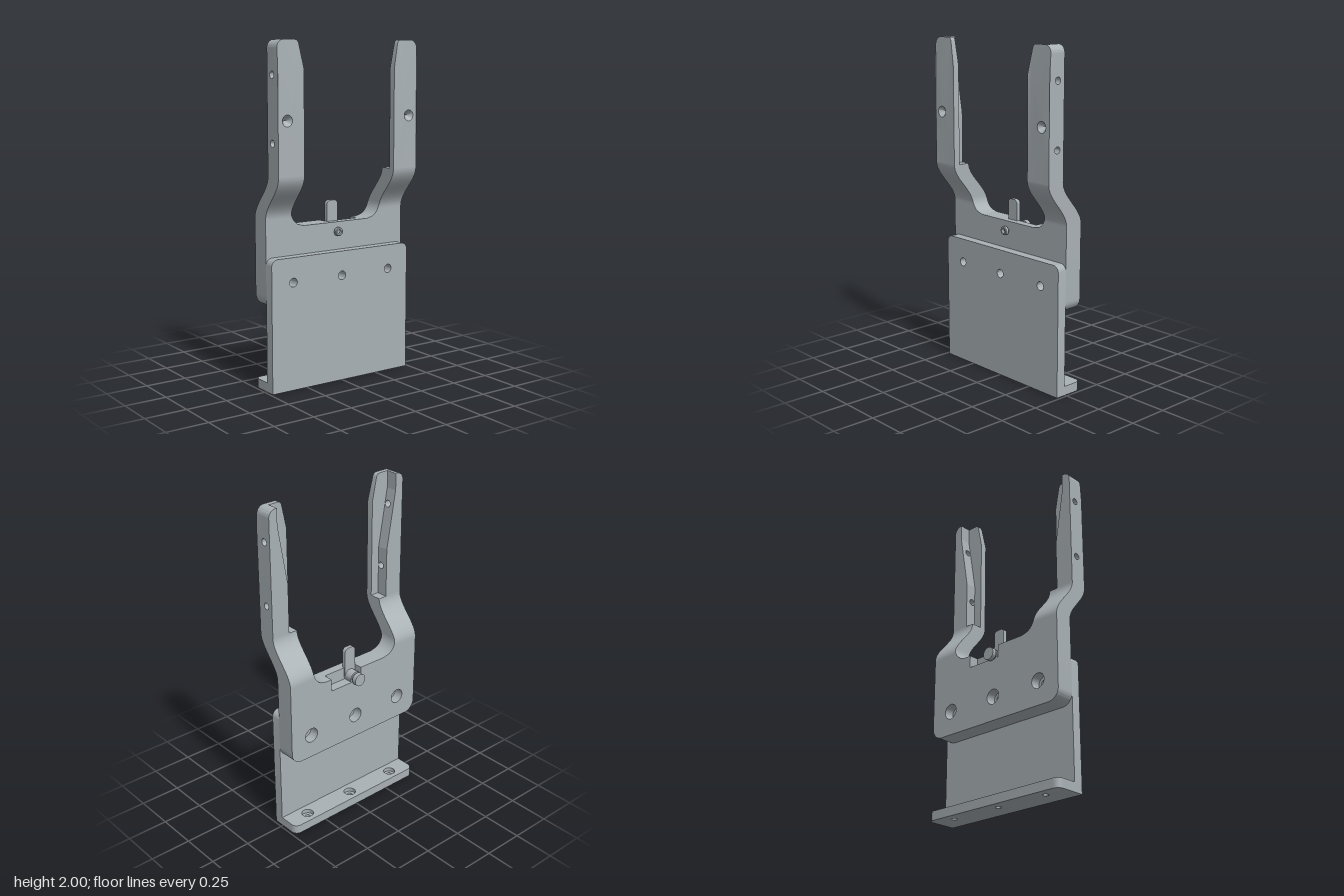
import * as THREE from 'three';
import { toCreasedNormals } from 'three/addons/utils/BufferGeometryUtils.js';

const metal = new THREE.MeshStandardMaterial({ color: 0xa9b1b5 });
metal.name = 'satin grey metal';
const HOLES_X = [-0.34, 0, 0.34];

const finish = (g) => {
  g = g.index ? g.toNonIndexed() : g;
  g.deleteAttribute('normal');
  return toCreasedNormals(g, 0.6);
};

function add(parent, name, geometry) {
  const mesh = new THREE.Mesh(finish(geometry), metal);
  mesh.name = name;
  parent.add(mesh);
  return mesh;
}

// Copy a triangle soup to the other side of x = 0, keeping faces outward
function mirrorX(geometry) {
  const src = finish(geometry).attributes.position;
  const out = [];
  for (let i = 0; i < src.count; i += 3) {
    for (const k of [0, 2, 1]) out.push(-src.getX(i + k), src.getY(i + k), src.getZ(i + k));
  }
  return new THREE.BufferGeometry().setAttribute('position', new THREE.Float32BufferAttribute(out, 3));
}

function addPair(parent, name, geometry) {
  add(parent, name + 'Left', geometry);
  add(parent, name + 'Right', mirrorX(geometry));
}

function punch(shape, x, y, r) {
  shape.holes.push(new THREE.Path().absarc(x, y, r, 0, Math.PI * 2, true));
  return shape;
}

const extrude = (shape, depth) =>
  new THREE.ExtrudeGeometry(shape, { depth, bevelEnabled: false, curveSegments: 12 });
const extrudeZ = (shape, z0, z1) => extrude(shape, z1 - z0).translate(0, 0, z0);

// Plate with rounded top corners
function topRounded(w, y0, y1, r) {
  return new THREE.Shape().moveTo(-w, y0).lineTo(w, y0).lineTo(w, y1 - r)
    .absarc(w - r, y1 - r, r, 0, Math.PI / 2).lineTo(-w + r, y1)
    .absarc(-w + r, y1 - r, r, Math.PI / 2, Math.PI);
}

// Yoke outline, optionally with the latch notch in its top edge
function yokeShape(holeRadius, notched) {
  const w = 0.485, y0 = 0.49, r = 0.07, top = 0.945;
  const s = new THREE.Shape().moveTo(-w + r, y0).lineTo(w - r, y0)
    .absarc(w - r, y0 + r, r, -Math.PI / 2, 0).lineTo(w, top);
  if (notched) s.lineTo(0.185, top).lineTo(0.185, 0.87).lineTo(-0.04, 0.87).lineTo(-0.04, top);
  s.lineTo(-w, top).lineTo(-w, y0 + r).absarc(-w + r, y0 + r, r, Math.PI, Math.PI * 1.5);
  HOLES_X.forEach((x) => punch(s, x, 0.635, holeRadius));
  return s;
}

// Cranked lower arm: a rectangular section swept upward and forward
function crank() {
  const rows = [], N = 28, pos = [];
  for (let i = 0; i <= N; i++) {
    const y = 0.945 + (0.305 * i) / N;
    const d = Math.max(0, 1.035 - y);
    const xi = 0.225 + Math.sqrt(Math.max(0, 0.0081 - d * d));
    const t = THREE.MathUtils.smoothstep(y, 1.0, 1.25);
    const zf = 0.005 + 0.14 * t, zb = -0.11 + 0.145 * t;
    rows.push([[xi, y, zf], [0.485, y, zf], [0.485, y, zb], [xi, y, zb]]);
  }
  const quad = (a, b, c, d) => pos.push(...a, ...b, ...c, ...a, ...c, ...d);
  for (let i = 0; i < N; i++) {
    for (let k = 0; k < 4; k++) {
      const n = (k + 1) % 4;
      quad(rows[i][k], rows[i][n], rows[i + 1][n], rows[i + 1][k]);
    }
  }
  quad(...rows[N]);
  return new THREE.BufferGeometry().setAttribute('position', new THREE.Float32BufferAttribute(pos, 3));
}

// Length of outer wall between two heights; its inner face leans from x0 to x1
function wall(y0, y1, x0, x1, holeY) {
  const s = new THREE.Shape().moveTo(-0.1055, y0).lineTo(-0.035, y0).lineTo(-0.035, y1).lineTo(-0.1055, y1);
  if (holeY) punch(s, -0.083, holeY, 0.02);
  const g = extrude(s, 0.485).rotateY(Math.PI / 2);
  const p = g.attributes.position;
  for (let i = 0; i < p.count; i++) {
    if (p.getX(i) < 0.01) p.setX(i, THREE.MathUtils.mapLinear(p.getY(i), y0, y1, x0, x1));
  }
  return g;
}

// Front plate of an arm, thinning slightly toward the tip
function armPlate() {
  const s = new THREE.Shape().moveTo(0.315, 1.25).lineTo(0.485, 1.25).lineTo(0.485, 1.85).lineTo(0.485, 1.955)
    .absarc(0.44, 1.955, 0.045, 0, Math.PI / 2).lineTo(0.37, 2)
    .quadraticCurveTo(0.348, 2, 0.343, 1.975).lineTo(0.315, 1.84);
  punch(s, 0.425, 1.56, 0.033);
  const g = extrudeZ(s, 0.105, 0.145);
  const p = g.attributes.position;
  for (let i = 0; i < p.count; i++) {
    if (p.getZ(i) > 0.14) p.setZ(i, 0.145 - 0.07 * Math.max(0, p.getY(i) - 1.855));
  }
  return g;
}

// Turned part along z; profile is [radius, z] running from back to front
const turned = (profile, sides = 32) =>
  new THREE.LatheGeometry(profile.map(([r, z]) => new THREE.Vector2(r, z)), sides)
    .rotateX(Math.PI / 2).translate(0, 0.89, 0);

export function createModel() {
  const model = new THREE.Group();
  model.name = 'forkBracket';

  // Angle bracket: upright plate and counterbored foot
  const base = new THREE.Group();
  base.name = 'angleBracket';
  model.add(base);
  const upright = topRounded(0.485, 0, 0.78, 0.04);
  HOLES_X.forEach((x) => punch(upright, x, 0.635, 0.026));
  add(base, 'uprightPlate', extrudeZ(upright, 0.005, 0.065));
  for (const [name, yTop, h, r] of [['footLower', 0.03, 0.03, 0.017], ['footUpper', 0.055, 0.025, 0.036]]) {
    const s = new THREE.Shape().moveTo(0.485, 0.005).lineTo(-0.485, 0.005).lineTo(-0.485, -0.085)
      .absarc(-0.445, -0.085, 0.04, Math.PI, Math.PI * 1.5).lineTo(0.445, -0.125)
      .absarc(0.445, -0.085, 0.04, -Math.PI / 2, 0);
    HOLES_X.forEach((x) => punch(s, x, -0.06, r));
    add(base, name, extrude(s, h).rotateX(Math.PI / 2).translate(0, yTop, 0));
  }

  // Fork: yoke in two layers for counterbores and notch, then both arms
  const fork = new THREE.Group();
  fork.name = 'fork';
  model.add(fork);
  add(fork, 'yokeFront', extrudeZ(yokeShape(0.026, false), -0.05, 0.005));
  add(fork, 'yokeBack', extrudeZ(yokeShape(0.045, true), -0.11, -0.05));
  addPair(fork, 'armCrank', crank());
  addPair(fork, 'armPlate', armPlate());
  addPair(fork, 'armWallLower', wall(1.25, 1.55, 0.37, 0.37, 1.435));
  addPair(fork, 'armWallMiddle', wall(1.55, 1.9, 0.37, 0.43, 1.81));
  addPair(fork, 'armWallUpper', wall(1.9, 1.955, 0.43, 0.43));
  const tip = new THREE.Shape().moveTo(0.43, 1.955).lineTo(0.485, 1.955)
    .absarc(0.44, 1.955, 0.045, 0, Math.PI / 2).lineTo(0.43, 2);
  addPair(fork, 'armTip', extrudeZ(tip, 0.035, 0.1055));

  // Conical seats sunk into the arm fronts
  const seat = new THREE.LatheGeometry([new THREE.Vector2(0.033, 0.145), new THREE.Vector2(0.001, 0.107)], 24)
    .rotateX(Math.PI / 2).translate(0.425, 1.56, 0);
  addPair(fork, 'conicalSeat', seat);

  // Latch: lever, pivot barrel, rear knob and socketed front screw
  const latch = new THREE.Group();
  latch.name = 'latch';
  model.add(latch);
  add(latch, 'lever', extrudeZ(topRounded(0.038, 0.89, 1.07, 0.025), -0.06, -0.035));
  add(latch, 'barrelAndKnob', turned([[0, -0.15], [0.038, -0.15], [0.038, -0.123], [0.028, -0.123],
    [0.028, -0.11], [0.038, -0.11], [0.038, -0.05], [0, -0.05]]));
  add(latch, 'frontScrew', turned([[0.012, 0], [0.012, 0.016], [0.022, 0.016], [0.026, 0.02], [0.026, 0.036],
    [0.022, 0.04], [0.014, 0.04], [0.014, 0.022], [0, 0.022]]));
  return model;
}
